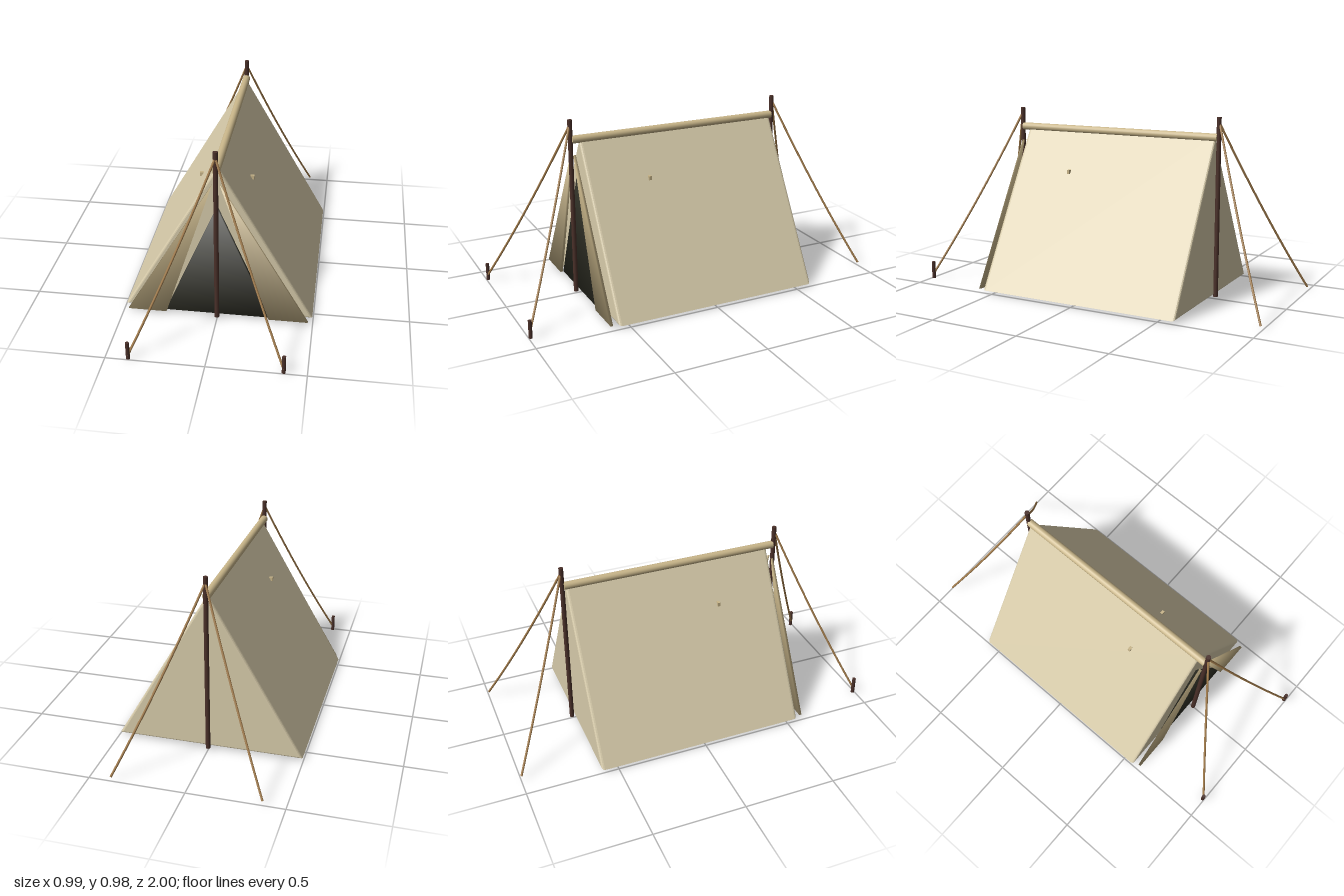
import * as THREE from 'three';

const mat = (name, color, side = THREE.FrontSide) => {
  const m = new THREE.MeshStandardMaterial({ color, side });
  m.name = name;
  return m;
};

// Thin triangular panel with softened corner normals, as stretched cloth
function clothPanel(points, zBack, zFront) {
  const p = THREE.ShapeUtils.area(points) < 0 ? [...points].reverse() : points;
  const cx = (p[0].x + p[1].x + p[2].x) / 3;
  const cy = (p[0].y + p[1].y + p[2].y) / 3;
  const pos = [], nor = [];
  for (const [z, nz] of [[zFront, 1], [zBack, -1]]) {
    for (const q of p) {
      pos.push(q.x, q.y, z);
      const n = new THREE.Vector3(q.x - cx, q.y - cy, 0).normalize().setZ(nz).normalize();
      nor.push(n.x, n.y, n.z);
    }
  }
  const index = [0, 1, 2, 3, 5, 4];
  for (let i = 0; i < 3; i++) {
    const j = (i + 1) % 3;
    index.push(i, i + 3, j + 3, i, j + 3, j);
  }
  const g = new THREE.BufferGeometry();
  g.setAttribute('position', new THREE.Float32BufferAttribute(pos, 3));
  g.setAttribute('normal', new THREE.Float32BufferAttribute(nor, 3));
  g.setIndex(index);
  return g;
}

export function createModel() {
  const group = new THREE.Group();
  group.name = 'ridgeTent';
  const canvas = mat('canvas', 0xd8ccab);
  const tan = mat('tanCloth', 0xc9b68a);
  const wood = mat('darkWood', 0x4a3029);
  const rope = mat('rope', 0xa27c4c);
  const dark = mat('darkInterior', 0x2e2e24);
  const v2 = (x, y) => new THREE.Vector2(x, y);

  const add = (name, geometry, material, x = 0, y = 0, z = 0) => {
    const m = new THREE.Mesh(geometry, material);
    m.name = name;
    m.position.set(x, y, z);
    group.add(m);
    return m;
  };

  // Canvas body: a triangular prism with softened edges
  const b = 0.015;
  const body = new THREE.ExtrudeGeometry(
    new THREE.Shape([v2(-0.477, 0.024), v2(0.477, 0.024), v2(0, 0.85)]),
    { depth: 1.15 - 2 * b, bevelEnabled: true, bevelSize: b, bevelThickness: b, bevelSegments: 3 });
  add('canvasBody', body, canvas, 0, 0, -0.59 + b);

  // Rolled ridge along the top
  add('ridgeRoll', new THREE.CylinderGeometry(0.021, 0.021, 1.2, 16).rotateX(Math.PI / 2), tan, 0, 0.868, 0);

  // Dark doorway
  add('doorway', clothPanel([v2(-0.275, 0.014), v2(0.275, 0.014), v2(0, 0.655)], 0.555, 0.582), dark);

  for (const s of [-1, 1]) {
    const side = s > 0 ? 'left' : 'right';
    // Door flap and small roof toggle on each side
    add(side + 'DoorFlap',
      clothPanel([v2(s * 0.27, 0.014), v2(s * 0.475, 0.014), v2(s * 0.02, 0.79)], 0.587, 0.601), tan);
    add(side + 'RoofToggle', new THREE.BoxGeometry(0.032, 0.022, 0.014), tan, s * 0.129, 0.646, 0.22);
    // Ground peg
    add(side + 'Peg', new THREE.CylinderGeometry(0.01, 0.01, 0.097, 10), wood, s * 0.385, 0.0485, 0.99);
  }

  for (const e of [-1, 1]) {
    const end = e > 0 ? 'front' : 'back';
    // Upright pole
    add(end + 'Pole', new THREE.CylinderGeometry(0.0125, 0.0125, 0.962, 12), wood, 0, 0.494, e * 0.607);
    // Slightly slack guy ropes
    for (const s of [-1, 1]) {
      const curve = new THREE.QuadraticBezierCurve3(
        new THREE.Vector3(0, 0.945, e * 0.61),
        new THREE.Vector3(s * 0.193, 0.43, e * 0.803),
        new THREE.Vector3(s * 0.385, 0.022, e * 0.995));
      add(end + (s > 0 ? 'Left' : 'Right') + 'GuyRope', new THREE.TubeGeometry(curve, 16, 0.006, 8), rope);
    }
  }
  return group;
}
